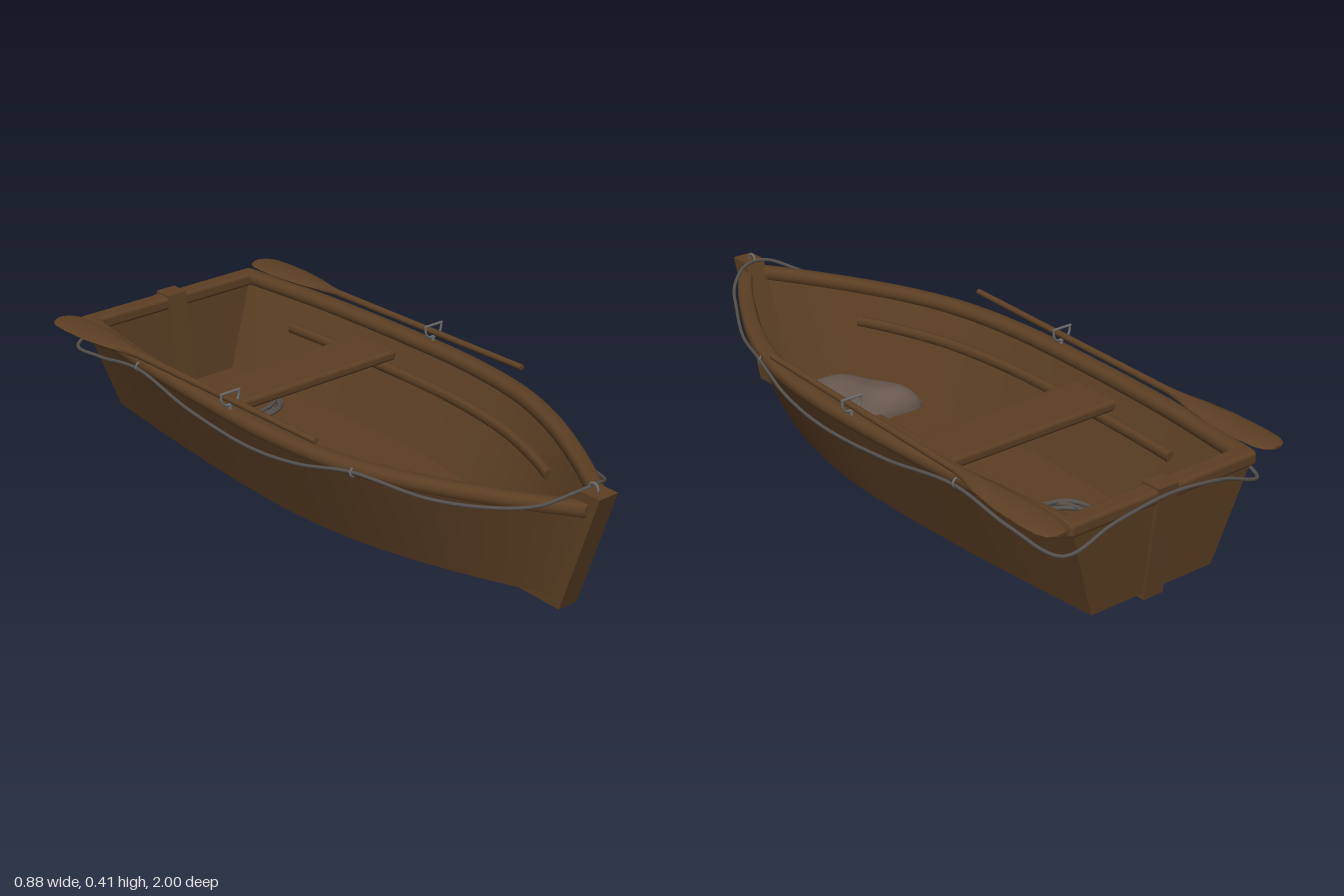
import * as THREE from 'three';
import { toCreasedNormals } from 'three/addons/utils/BufferGeometryUtils.js';
import { RoundedBoxGeometry } from 'three/addons/geometries/RoundedBoxGeometry.js';

const V = (x, y, z) => new THREE.Vector3(x, y, z);
const material = (name, color) => {
  const m = new THREE.MeshStandardMaterial({ color });
  m.name = name;
  return m;
};

// Skin a list of closed rings (counterclockwise seen from the loft direction)
function loft(rings, { flip = false, caps = true, crease = 0.6 } = {}) {
  const n = rings[0].length, pos = [], idx = [];
  const tri = (a, b, c) => (flip ? idx.push(a, c, b) : idx.push(a, b, c));
  rings.forEach(r => r.forEach(p => pos.push(p.x, p.y, p.z)));
  for (let i = 0; i < rings.length - 1; i++) {
    for (let j = 0; j < n; j++) {
      const a = i * n + j, b = i * n + (j + 1) % n;
      tri(a, b, b + n);
      tri(a, b + n, a + n);
    }
  }
  const last = (rings.length - 1) * n;
  if (caps) for (let j = 1; j < n - 1; j++) {
    tri(0, j + 1, j);
    tri(last, last + j, last + j + 1);
  }
  const g = new THREE.BufferGeometry();
  g.setAttribute('position', new THREE.Float32BufferAttribute(pos, 3));
  g.setIndex(idx);
  return toCreasedNormals(g, crease);
}

// Side profile given as [z, y] points, extruded across x
function profile(points, width) {
  const g = new THREE.ExtrudeGeometry(new THREE.Shape(points.map(p => new THREE.Vector2(...p))),
    { depth: width, bevelEnabled: false });
  return g.translate(0, 0, -width / 2).rotateY(-Math.PI / 2);
}

// Hull stations: z and half-width at the top, z and half-width at the bottom
const stations = [
  [-0.965, 0.325, -0.935, 0.22], [-0.6, 0.37, -0.58, 0.25], [-0.2, 0.39, -0.2, 0.268],
  [0.05, 0.39, 0.03, 0.265], [0.3, 0.36, 0.26, 0.235], [0.5, 0.295, 0.45, 0.185],
  [0.7, 0.195, 0.63, 0.12], [0.85, 0.105, 0.76, 0.065], [0.96, 0.03, 0.865, 0.02],
];
const topLine = new THREE.CatmullRomCurve3(stations.map(s => V(s[1], 0.335, s[0])));
const bottomLine = new THREE.CatmullRomCurve3(stations.map(s => V(s[3], 0.03, s[2])));
const hullPoint = (t, v) => bottomLine.getPoint(t).lerp(topLine.getPoint(t), v);
const range = (n, f) => Array.from({ length: n + 1 }, (_, i) => f(i / n));

function hullGeometry() {
  return loft(range(48, t => {
    const a = hullPoint(t, 1), b = hullPoint(t, 0);
    const ai = Math.max(a.x - 0.025, 0.004), bi = Math.max(b.x - 0.02, 0.003);
    return [
      V(-a.x, a.y, a.z), V(-b.x, b.y, b.z), V(b.x, b.y, b.z), V(a.x, a.y, a.z),
      V(ai, a.y, a.z), V(bi, 0.05, b.z), V(-bi, 0.05, b.z), V(-ai, a.y, a.z),
    ];
  }), { caps: false });
}

// Rounded rail following the hull on side s
function railGeometry(s, t0, t1, v, inset, hw, hh) {
  return loft(range(40, u => {
    const p = hullPoint(t0 + (t1 - t0) * u, v);
    return range(11, k => {
      const a = k * 11 / 12 * Math.PI * 2, c = Math.cos(a), d = Math.sin(a);
      return V(s * (p.x - inset + hw * Math.sign(c) * Math.abs(c) ** 0.5),
        p.y + hh * Math.sign(d) * Math.abs(d) ** 0.5, p.z);
    });
  }), { flip: s < 0, crease: 0.9 });
}

export function createModel() {
  const wood = material('brown wood', 0x5c3f24);
  const ropeGrey = material('grey rope', 0x55504b);
  const metal = material('grey metal', 0x6b6b6c);
  const cloth = material('grey brown cloth', 0x6a5a50);
  const model = new THREE.Group();
  model.name = 'rowingBoat';
  model.position.x = -0.003;
  const add = (name, geometry, mat, parent = model) => {
    const m = new THREE.Mesh(geometry, mat);
    m.name = name;
    parent.add(m);
    return m;
  };
  const tube = (points, r, segments, closed = false) =>
    new THREE.TubeGeometry(new THREE.CatmullRomCurve3(points, closed), segments, r, 7, closed);

  // Hull shell and transom
  add('hull', hullGeometry(), wood);
  const transomRing = dz => [
    V(-0.22, 0.03, -0.94 + dz), V(0.22, 0.03, -0.94 + dz),
    V(0.325, 0.335, -0.97 + dz), V(-0.325, 0.335, -0.97 + dz)];
  add('transom', loft([transomRing(0), transomRing(0.035)]), wood);
  add('transomRail', new RoundedBoxGeometry(0.67, 0.042, 0.06, 3, 0.012), wood).position.set(0, 0.334, -0.95);

  // Backbone timbers
  add('stem', profile([[1, 0.383], [0.93, 0.383], [0.8, 0.03], [0.8, 0], [0.87, 0]], 0.068), wood);
  add('keel', profile([[-0.945, 0.01], [0.87, 0], [0.87, 0.035], [-0.945, 0.035]], 0.066), wood);
  add('keelson', new RoundedBoxGeometry(0.064, 0.03, 1.78, 2, 0.008), wood).position.set(0, 0.053, -0.04);
  add('sternPost', profile([[-0.945, 0.01], [-0.88, 0.03], [-0.92, 0.362], [-0.985, 0.362]], 0.07), wood);

  // Seat
  add('seat', new RoundedBoxGeometry(0.69, 0.034, 0.18, 3, 0.012), wood).position.set(0, 0.277, -0.33);

  // Oar blade outline as [distance from the tip, half-width, half-thickness]
  const blade = [[0, 0.016, 0.004], [0.012, 0.036, 0.006], [0.04, 0.049, 0.008], [0.1, 0.054, 0.01],
    [0.2, 0.052, 0.011], [0.3, 0.038, 0.012], [0.37, 0.02, 0.012], [0.42, 0.011, 0.011]];

  for (const s of [-1, 1]) {
    const side = s > 0 ? 'left' : 'right';
    add(side + 'Gunwale', railGeometry(s, 0, 1, 1, 0.012, 0.028, 0.02), wood);
    add(side + 'SeatStringer', railGeometry(s, 0.09, 0.7, 0.68, 0.032, 0.014, 0.015), wood);

    // Oar resting on the gunwale
    const oar = new THREE.Group();
    oar.name = side + 'Oar';
    oar.position.set(s * 0.388, 0.357, -1);
    oar.rotation.x = -0.029;
    model.add(oar);
    add('blade', loft(blade.map(([z, w, h]) => range(11, k => {
      const a = k * 11 / 12 * Math.PI * 2;
      return V(w * Math.cos(a), h * Math.sin(a), z);
    })), { crease: 1 }), wood, oar);
    add('shaft', new THREE.CylinderGeometry(0.009, 0.011, 0.87, 12).rotateX(Math.PI / 2), wood, oar)
      .position.z = 0.835;

    // Oarlock: U-shaped cradle, top bar and pin
    const lock = new THREE.Group();
    lock.name = side + 'Oarlock';
    lock.position.set(s * 0.388, 0, -0.12);
    model.add(lock);
    add('cradle', tube([V(-0.031, 0.408, 0), V(-0.03, 0.385, 0), V(-0.02, 0.37, 0), V(0, 0.367, 0),
      V(0.02, 0.37, 0), V(0.03, 0.385, 0), V(0.031, 0.408, 0)], 0.004, 28), metal, lock);
    add('topBar', new THREE.CylinderGeometry(0.004, 0.004, 0.07, 8).rotateZ(Math.PI / 2), metal, lock)
      .position.y = 0.406;
    add('pin', new THREE.CylinderGeometry(0.006, 0.006, 0.03, 8), metal, lock).position.y = 0.355;

    // Grab rope hung around the outside
    const rope = [[0, 0.385, 0.93], [0.05, 0.378, 0.92], [0.12, 0.345, 0.87], [0.18, 0.318, 0.77],
      [0.27, 0.308, 0.6], [0.356, 0.332, 0.38], [0.395, 0.3, 0.2], [0.41, 0.281, 0],
      [0.41, 0.295, -0.3], [0.393, 0.325, -0.58], [0.385, 0.29, -0.8], [0.35, 0.268, -0.97],
      [0.2, 0.318, -0.988], [0.05, 0.34, -0.99], [0, 0.342, -0.99]];
    add(side + 'GrabRope', tube(rope.map(([x, y, z]) => V(s * x, y, z)), 0.0055, 120), ropeGrey);
    for (const [x, z] of [[0.345, 0.38], [0.383, -0.58]])
      add(side + 'RopeEye', new THREE.TorusGeometry(0.014, 0.004, 6, 16), metal).position.set(s * x, 0.33, z);
  }

  // Ring at the bow
  add('bowRing', new THREE.TorusGeometry(0.016, 0.004, 8, 20).rotateY(Math.PI / 2), metal)
    .position.set(0, 0.385, 0.945);

  // Coiled rope with a loose tail on the floor
  const coil = range(96, u => {
    const a = u * Math.PI * 8 - 2.3, r = 0.098 + 0.014 * Math.sin(u * 41) + 0.006 * Math.sin(a * 3);
    return V(0.015 + r * Math.cos(a), 0.075 + 0.02 * u, -0.6 + r * 1.2 * Math.sin(a));
  });
  const tail = [[-0.118, 0.07, -0.84], [-0.108, 0.06, -0.79], [-0.088, 0.06, -0.76], [-0.092, 0.062, -0.71]];
  add('ropeCoil', tube([...tail.map(p => V(...p)), ...coil], 0.007, 320), ropeGrey);

  // Slumped sack near the bow
  const outline = new THREE.CatmullRomCurve3([[-0.19, 0.3], [-0.05, 0.295], [0.06, 0.305], [0.195, 0.285],
    [0.19, 0.43], [0.14, 0.57], [0.04, 0.618], [-0.07, 0.56], [-0.17, 0.46]].map(p => V(p[0], 0, p[1])), true);
  add('sack', loft(range(14, u => {
    const r = Math.max(Math.cos(u * Math.PI / 2), 0.01);
    return range(39, k => {
      const p = outline.getPoint(k * 39 / 40);
      const x = 0.01 + (p.x - 0.01) * r, z = 0.43 + (p.z - 0.43) * r;
      return V(x, 0.05 + 0.085 * Math.sin(u * Math.PI / 2) * (1 + 0.12 * Math.sin(x * 26 + z * 17)), z);
    });
  }), { flip: true, crease: 1.2 }), cloth);

  return model;
}
